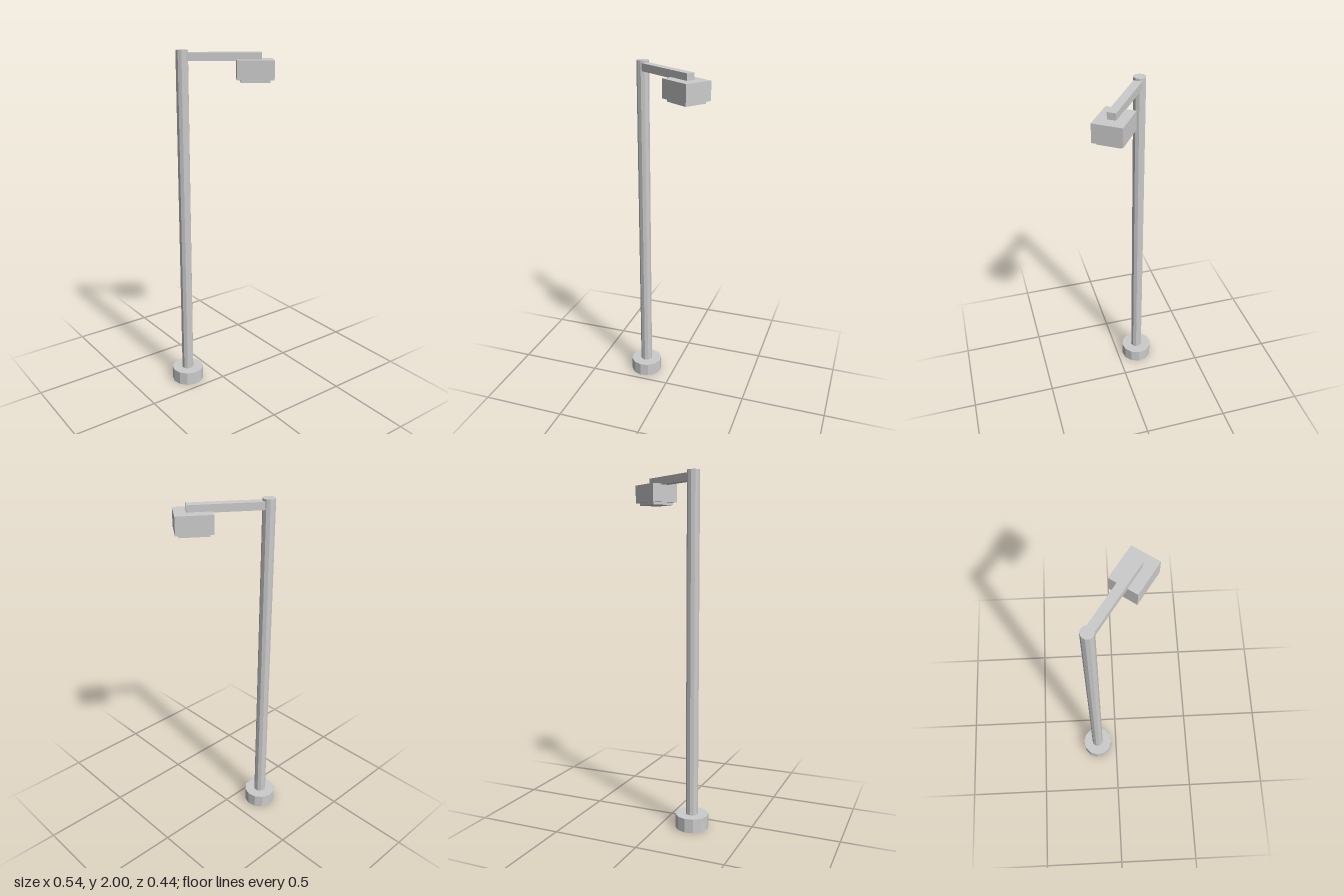
import * as THREE from 'three';

const material = new THREE.MeshStandardMaterial({ color: 0xcccccc, flatShading: true });

// Adds a mesh whose underside sits at height y, at distance x along the arm.
function addPart(group, name, geometry, x, y, height) {
  const mesh = new THREE.Mesh(geometry, material);
  mesh.name = name;
  mesh.position.set(x, y + height / 2, 0);
  group.add(mesh);
}

export function createModel() {
  const group = new THREE.Group();
  group.name = 'streetLamp';

  // The lamp is built with its arm along local +x, then turned about the pole.
  const lamp = new THREE.Group();
  lamp.name = 'lamp';
  lamp.position.set(-0.178, 0, -0.128);
  lamp.rotation.y = THREE.MathUtils.degToRad(-35);
  group.add(lamp);

  // Footing and pole
  addPart(lamp, 'base', new THREE.CylinderGeometry(0.095, 0.095, 0.08, 12), 0, 0, 0.08);
  addPart(lamp, 'pole', new THREE.CylinderGeometry(0.035, 0.035, 1.96, 10), 0, 0.04, 1.96);

  // Arm, lamp housing and the lens set under it
  addPart(lamp, 'arm', new THREE.BoxGeometry(0.403, 0.043, 0.047), 0.2255, 1.944, 0.043);
  addPart(lamp, 'lampHousing', new THREE.BoxGeometry(0.2, 0.102, 0.161), 0.392, 1.848, 0.102);
  addPart(lamp, 'lens', new THREE.BoxGeometry(0.16, 0.025, 0.13), 0.392, 1.833, 0.025);

  return group;
}
